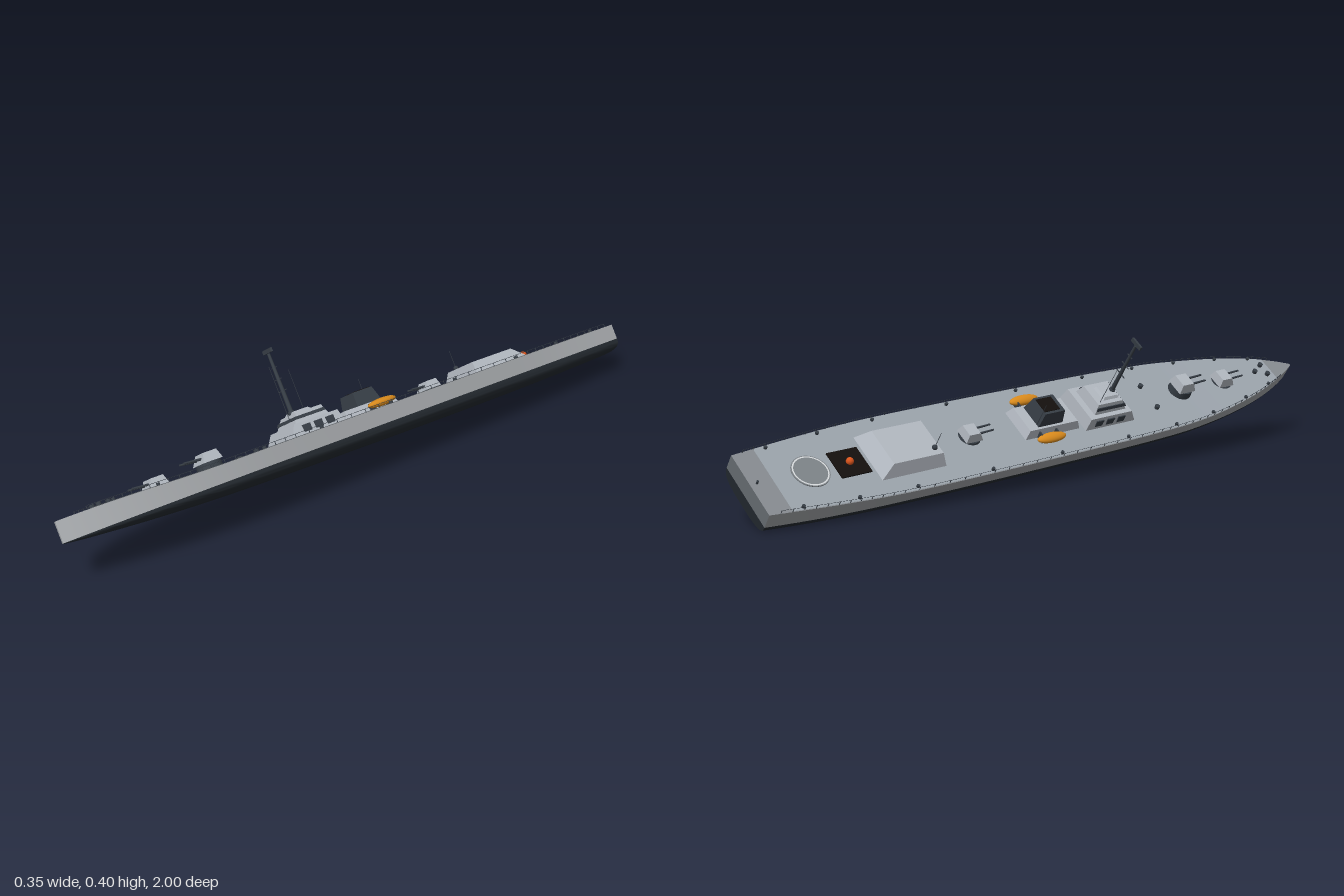
import * as THREE from 'three';
import { mergeGeometries, toCreasedNormals } from 'three/addons/utils/BufferGeometryUtils.js';

const C = { bottom: 0x23292f, side: 0xa0a3a6, deck: 0x9aa2aa, house: 0xb0b6be, dark: 0x363d45, black: 0x14100e, orange: 0xd98a1c };
const DECK = 0.049;

function add(parent, name, geo, color, x = 0, y = 0, z = 0) {
  const mat = new THREE.MeshStandardMaterial({ color, side: THREE.DoubleSide });
  const m = new THREE.Mesh(geo, mat);
  m.name = name;
  m.position.set(x, y, z);
  parent.add(m);
  return m;
}

// Surface through rows of points running from stern to bow
function loft(rows, crease = 0.6) {
  const n = rows[0].length, idx = [];
  for (let i = 0; i < rows.length - 1; i++)
    for (let j = 0; j < n - 1; j++) {
      const a = i * n + j, b = a + n;
      idx.push(a, b, a + 1, a + 1, b, b + 1);
    }
  const g = new THREE.BufferGeometry();
  g.setAttribute('position', new THREE.Float32BufferAttribute(rows.flat(2), 3));
  g.setIndex(idx);
  g.computeVertexNormals();
  return toCreasedNormals(g, crease);
}

// Box standing on y = 0 whose top is narrowed at the sides, front and back
function taper(w, h, d, side = 0, front = 0, back = 0) {
  const g = new THREE.BoxGeometry(w, h, d).translate(0, h / 2, 0);
  const p = g.attributes.position;
  for (let i = 0; i < p.count; i++) {
    if (p.getY(i) < h / 2) continue;
    p.setX(i, p.getX(i) - Math.sign(p.getX(i)) * side);
    p.setZ(i, p.getZ(i) - (p.getZ(i) > 0 ? front : -back));
  }
  g.computeVertexNormals();
  return g;
}

// Stations hold half breadth at deck, draft and z
const lines = new THREE.CatmullRomCurve3([
  [0.106, 0.033, -1], [0.124, 0.037, -0.8], [0.136, 0.039, -0.6], [0.139, 0.039, -0.3], [0.138, 0.037, 0],
  [0.135, 0.034, 0.3], [0.126, 0.03, 0.5], [0.098, 0.022, 0.7], [0.062, 0.013, 0.85], [0.026, 0.006, 0.95], [0.003, 0.001, 1],
].map(p => new THREE.Vector3(...p)), false, 'centripetal');
const stations = lines.getPoints(60);
const deckY = z => 0.047 + 0.013 * THREE.MathUtils.smoothstep(z, 0.5, 1);
const waterHalf = s => s.x * (0.92 + 0.08 * THREE.MathUtils.smoothstep(-s.z, 0.5, 1));

function underSection(s) {
  const pts = [];
  for (let j = 0; j <= 20; j++) {
    const a = Math.PI * j / 20, c = Math.cos(a);
    pts.push([Math.sign(c) * Math.abs(c) ** 0.67 * waterHalf(s), -(Math.max(0, Math.sin(a)) ** 0.67) * s.y, s.z]);
  }
  return pts;
}

function buildHull(ship) {
  const g = new THREE.Group();
  g.name = 'hull';
  ship.add(g);
  add(g, 'underwaterHull', loft(stations.map(underSection)), C.bottom);
  for (const k of [1, -1]) {
    const rows = stations.map(s => {
      const r = [[k * s.x, deckY(s.z), s.z], [k * waterHalf(s), 0, s.z]];
      return k > 0 ? r : r.reverse();
    });
    add(g, k > 0 ? 'leftTopside' : 'rightTopside', loft(rows), C.side);
  }
  const across = (list, lift, f) => loft(list.map(s => [[-s.x * f, deckY(s.z) + lift, s.z], [s.x * f, deckY(s.z) + lift, s.z]]));
  add(g, 'hullTop', across(stations, 0, 1), 0x858a8f);
  add(g, 'deckPlating', across(stations.filter(s => s.z > -0.94 && s.z < 0.91), 0.0015, 0.985), C.deck);
  // Flat stern, dark below the waterline
  const s = stations[0], w = waterHalf(s);
  const flat = pts => new THREE.ShapeGeometry(new THREE.Shape(pts.map(p => new THREE.Vector2(p[0], p[1])))).rotateY(Math.PI);
  add(g, 'lowerTransom', flat(underSection(s)), C.bottom, 0, 0, -1);
  add(g, 'upperTransom', flat([[-w, 0], [w, 0], [s.x, deckY(-1)], [-s.x, deckY(-1)]]), 0x6a7076, 0, 0, -1);
}

function buildRailings(ship) {
  const posts = [], bollards = [];
  const run = stations.filter(s => s.z > -0.97 && s.z < 0.93);
  for (const k of [1, -1]) {
    const at = (s, h) => new THREE.Vector3(k * s.x * 0.985, deckY(s.z) + h, s.z);
    run.forEach((s, i) => {
      const p = at(s, 0.005);
      posts.push(new THREE.BoxGeometry(0.0015, 0.011, 0.0015).translate(p.x, p.y, p.z));
      if (i % 5 === 2) bollards.push(new THREE.CylinderGeometry(0.005, 0.005, 0.007, 8).translate(p.x * 0.93, p.y, p.z));
    });
    const rail = new THREE.CatmullRomCurve3(run.map(s => at(s, 0.0105)));
    add(ship, 'handrail', new THREE.TubeGeometry(rail, 80, 0.0006, 4), C.dark);
  }
  add(ship, 'railPosts', mergeGeometries(posts), C.dark);
  add(ship, 'edgeBollards', mergeGeometries(bollards), C.dark);
}

function buildTurret(ship, z, base, size) {
  const g = new THREE.Group();
  g.name = 'gunTurret';
  g.position.set(0, DECK, z);
  g.scale.setScalar(size);
  ship.add(g);
  add(g, 'barbette', new THREE.CylinderGeometry(0.033, 0.035, base, 20), C.dark, 0, base / 2, 0);
  add(g, 'gunHouse', taper(0.056, 0.026, 0.06, 0.007, 0.014, 0.006), C.house, 0, base, 0);
  for (const k of [1, -1]) {
    const b = add(g, 'gunBarrel', new THREE.CylinderGeometry(0.0028, 0.0035, 0.055, 8), C.dark, k * 0.011, base + 0.015, 0.046);
    b.rotation.x = Math.PI / 2 - 0.08;
  }
}

function whip(ship, x, y0, y1, z) {
  add(ship, 'whipAntenna', new THREE.CylinderGeometry(0.0007, 0.001, y1 - y0, 5), C.dark, x, (y0 + y1) / 2, z);
}

function buildBridge(ship) {
  const g = new THREE.Group();
  g.name = 'bridge';
  ship.add(g);
  add(g, 'bridgeHouse', taper(0.14, 0.038, 0.19, 0.006, 0.025, 0.008), C.house, 0, DECK, 0.175);
  add(g, 'wheelhouse', taper(0.1, 0.03, 0.12, 0.01, 0.02, 0.008), C.house, 0, 0.087, 0.17);
  add(g, 'wheelhouseWindows', taper(0.098, 0.009, 0.112, 0.003, 0.006, 0), C.dark, 0, 0.098, 0.1715);
  add(g, 'bridgeRoof', taper(0.055, 0.007, 0.06, 0.006, 0.006, 0.006), C.house, 0, 0.117, 0.175);
  for (const k of [1, -1])
    for (let i = 0; i < 3; i++)
      add(g, 'sideDoor', new THREE.BoxGeometry(0.006, 0.021, 0.028), C.dark, k * 0.066, 0.067, 0.125 + i * 0.042);
  // Mast with yards and top aerial
  add(g, 'mast', new THREE.CylinderGeometry(0.0045, 0.007, 0.185, 10), C.dark, 0, 0.21, 0.195);
  add(g, 'mastFoot', new THREE.CylinderGeometry(0.009, 0.011, 0.012, 10), C.dark, 0, 0.123, 0.195);
  add(g, 'topAerial', new THREE.BoxGeometry(0.043, 0.012, 0.007), C.dark, 0, 0.31, 0.195);
  [[0.19, 0.038], [0.225, 0.032], [0.26, 0.024]].forEach(([y, w]) =>
    add(g, 'yard', new THREE.BoxGeometry(w, 0.0025, 0.0025), C.dark, 0, y, 0.195));
  whip(g, 0.022, 0.1, 0.265, 0.225);
  whip(g, -0.03, 0.1, 0.245, 0.13);
}

function buildFunnel(ship) {
  const g = new THREE.Group();
  g.name = 'funnelBlock';
  ship.add(g);
  add(g, 'funnelHouse', taper(0.11, 0.026, 0.2, 0.008, 0.012, 0.012), C.house, 0, DECK, -0.035);
  add(g, 'funnel', taper(0.08, 0.045, 0.09, 0.007, 0.006, 0.012), C.dark, 0, 0.073, -0.045);
  add(g, 'funnelMouth', new THREE.BoxGeometry(0.05, 0.003, 0.056), C.black, 0, 0.1185, -0.048);
  whip(g, -0.03, 0.07, 0.155, -0.09);
  // Lifeboats on davits
  for (const k of [1, -1]) {
    const boat = add(g, 'lifeboat', new THREE.SphereGeometry(1, 20, 12), C.orange, k * 0.076, 0.064, -0.06);
    boat.scale.set(0.017, 0.012, 0.052);
    for (const dz of [-0.03, 0.03])
      add(g, 'davit', new THREE.BoxGeometry(0.026, 0.022, 0.004), C.dark, k * 0.065, 0.06, -0.06 + dz);
  }
}

function buildAft(ship) {
  const g = new THREE.Group();
  g.name = 'aftDeck';
  ship.add(g);
  add(g, 'hangar', taper(0.16, 0.036, 0.21, 0.018, 0.012, 0.035), C.house, 0, DECK, -0.535);
  add(g, 'hangarSensor', new THREE.SphereGeometry(0.008, 12, 8), C.dark, -0.04, 0.089, -0.46);
  whip(g, -0.04, 0.085, 0.145, -0.46);
  add(g, 'hatch', new THREE.BoxGeometry(0.09, 0.004, 0.095), C.black, 0, 0.0505, -0.7);
  add(g, 'signalBall', new THREE.SphereGeometry(0.011, 14, 10), 0xd9541c, 0, 0.056, -0.7);
  add(g, 'landingPad', new THREE.CylinderGeometry(0.054, 0.054, 0.003, 36), 0x7c8287, 0, 0.0495, -0.82);
  const ring = add(g, 'padRing', new THREE.RingGeometry(0.047, 0.051, 36), 0xd5d8da, 0, 0.0515, -0.82);
  ring.rotation.x = -Math.PI / 2;
  add(g, 'sternBollard', new THREE.CylinderGeometry(0.003, 0.003, 0.01, 8), C.dark, 0, 0.052, -0.98);
}

export function createModel() {
  const model = new THREE.Group();
  const ship = new THREE.Group();
  ship.name = 'ship';
  model.add(ship);
  buildHull(ship);
  buildRailings(ship);
  buildBridge(ship);
  buildFunnel(ship);
  buildAft(ship);
  buildTurret(ship, 0.69, 0.006, 1);
  buildTurret(ship, 0.51, 0.02, 1.08);
  buildTurret(ship, -0.3, 0.006, 0.95);
  // Capstans and bow bollards
  [[0, 0.835], [-0.02, 0.875], [0.02, 0.875], [-0.045, 0.38], [0.045, 0.38]].forEach(([x, z]) =>
    add(ship, 'capstan', new THREE.CylinderGeometry(0.008, 0.007, 0.012, 10), C.dark, x, deckY(z) + 0.006, z));
  // The ship lies heeled over with its bow raised
  ship.rotation.set(-0.064, 0, 0.65, 'ZXY');
  ship.position.set(0.041, 0.128, 0);
  return model;
}
